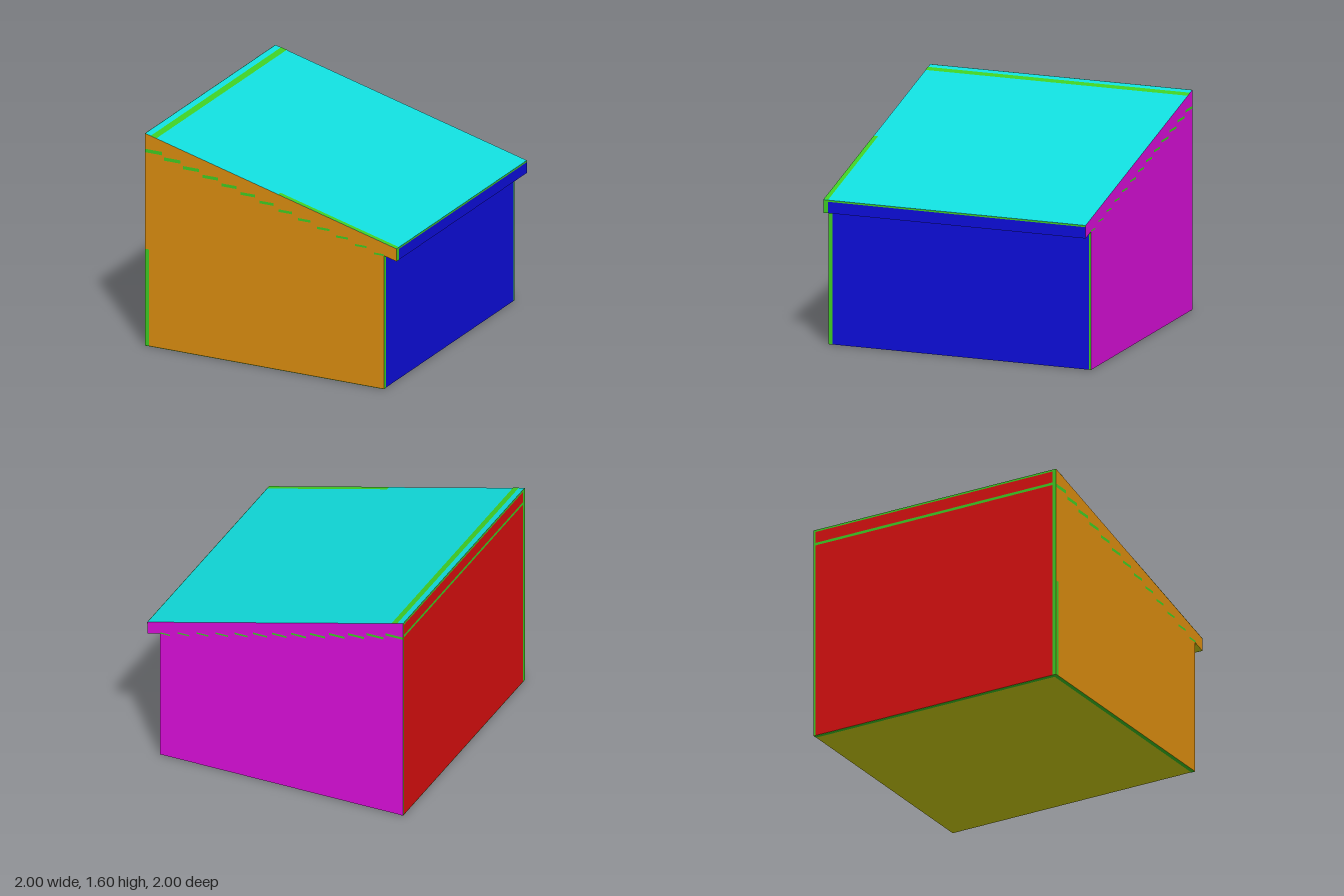
import * as THREE from 'three';

const paint = (name, color) => {
  const m = new THREE.MeshStandardMaterial({ color });
  m.name = name;
  return m;
};

// Heights of the sloping roof faces at a given x
const topY = x => 1.6 - 0.2625 * (x + 1);
const underY = x => 1.5 - 0.26 * (x + 1);

// Flat polygon from corners listed counter-clockwise as seen from outside
function face(name, material, corners) {
  const g = new THREE.BufferGeometry();
  const index = [];
  for (let i = 1; i < corners.length - 1; i++) index.push(0, i, i + 1);
  g.setAttribute('position', new THREE.Float32BufferAttribute(corners.flat(), 3));
  g.setIndex(index);
  g.computeVertexNormals();
  const mesh = new THREE.Mesh(g, material);
  mesh.name = name;
  return mesh;
}

// Prism along z from a counter-clockwise x-y profile; null skips a hidden side
function prism(name, profile, front, back, sides) {
  const group = new THREE.Group();
  group.name = name;
  group.add(face(name + 'Front', front, profile.map(([x, y]) => [x, y, 1])));
  group.add(face(name + 'Back', back, profile.map(([x, y]) => [x, y, -1]).reverse()));
  profile.forEach(([x, y], i) => {
    if (!sides[i]) return;
    const [u, v] = profile[(i + 1) % profile.length];
    group.add(face(name + 'Side', sides[i], [[x, y, 1], [x, y, -1], [u, v, -1], [u, v, 1]]));
  });
  return group;
}

export function createModel() {
  const orange = paint('orange', 0xdf9010);
  const blue = paint('blue', 0x0d0ddf);
  const red = paint('red', 0xdf0f0f);
  const magenta = paint('magenta', 0xdf0fdf);
  const cyan = paint('cyan', 0x11dfdf);
  const yellow = paint('yellow', 0xdfdf12);
  const green = paint('green', 0x40d024);
  green.side = THREE.DoubleSide;

  const model = new THREE.Group();
  model.name = 'shed';

  // Walls and floor
  model.add(prism('walls',
    [[-1, 0], [0.9, 0], [0.9, underY(0.9)], [-1, underY(-1)]],
    orange, magenta, [yellow, blue, null, red]));

  // Overhanging sloped roof slab
  model.add(prism('roof',
    [[-1, underY(-1)], [1, underY(1)], [1, topY(1)], [-1, topY(-1)]],
    orange, magenta, [yellow, blue, cyan, red]));

  const trim = new THREE.Group();
  trim.name = 'greenTrim';
  model.add(trim);
  const e = 0.002;

  // Strips on faces of constant z, constant x, floor and roof top
  const onZ = (name, z, x0, x1, y0, y1) => trim.add(face(name, green,
    [[x0, y0, z], [x1, y0, z], [x1, y1, z], [x0, y1, z]]));
  const onX = (name, x, z0, z1, y0, y1) => trim.add(face(name, green,
    [[x, y0, z1], [x, y0, z0], [x, y1, z0], [x, y1, z1]]));
  const onFloor = (name, x0, x1, z0, z1) => trim.add(face(name, green,
    [[x0, -e, z0], [x1, -e, z0], [x1, -e, z1], [x0, -e, z1]]));
  const onRoof = (name, x0, x1, z0, z1) => trim.add(face(name, green,
    [[x0, topY(x0) + e, z1], [x1, topY(x1) + e, z1], [x1, topY(x1) + e, z0], [x0, topY(x0) + e, z0]]));

  onZ('frontCornerTrim', 1 + e, -1, -0.968, 0, 0.73);
  onRoof('ridgeTrim', -0.955, -0.91, -1, 1);
  onRoof('frontRoofTrim', 0.06, 1, 0.965, 1);

  // Low wall and roof edge
  onX('lowWallFrontTrim', 0.9 + e, 0.97, 1, 0, underY(0.9));
  onX('lowWallBackTrim', 0.9 + e, -1, -0.985, 0, underY(0.9));
  onX('eaveFrontTrim', 1 + e, 0.965, 1, 0.98, topY(1));
  onX('eaveTopTrim', 1 + e, -1, 1, 1.063, topY(1));

  // Tall wall
  onX('tallWallFrontTrim', -1 - e, 0.97, 1, 0, 1.6);
  onX('tallWallBackTrim', -1 - e, -1, -0.985, 0, 1.6);
  onX('tallWallRoofTrim', -1 - e, -1, 1, 1.48, 1.5);
  onX('tallWallTopTrim', -1 - e, -1, 1, 1.585, 1.6);

  // Floor edges
  onFloor('floorFrontTrim', -1, 0.9, 0.97, 1);
  onFloor('floorTallTrim', -1, -0.97, -1, 1);

  // Stepped dashes below the roof line, shrinking towards the low end
  for (let i = 0; i < 13; i++) {
    const x0 = -1 + i * 0.152;
    const x1 = Math.min(x0 + 0.135 - i * 0.004, 0.9);
    const y1 = underY((x0 + x1) / 2) + 0.002;
    const h = 0.026 - i * 0.001;
    onZ('frontDash', 1 + e, x0, x1, y1 - h, y1);
    onZ('backDash', -1 - e, x0, x1, y1 - h * 0.7, y1);
  }
  return model;
}
